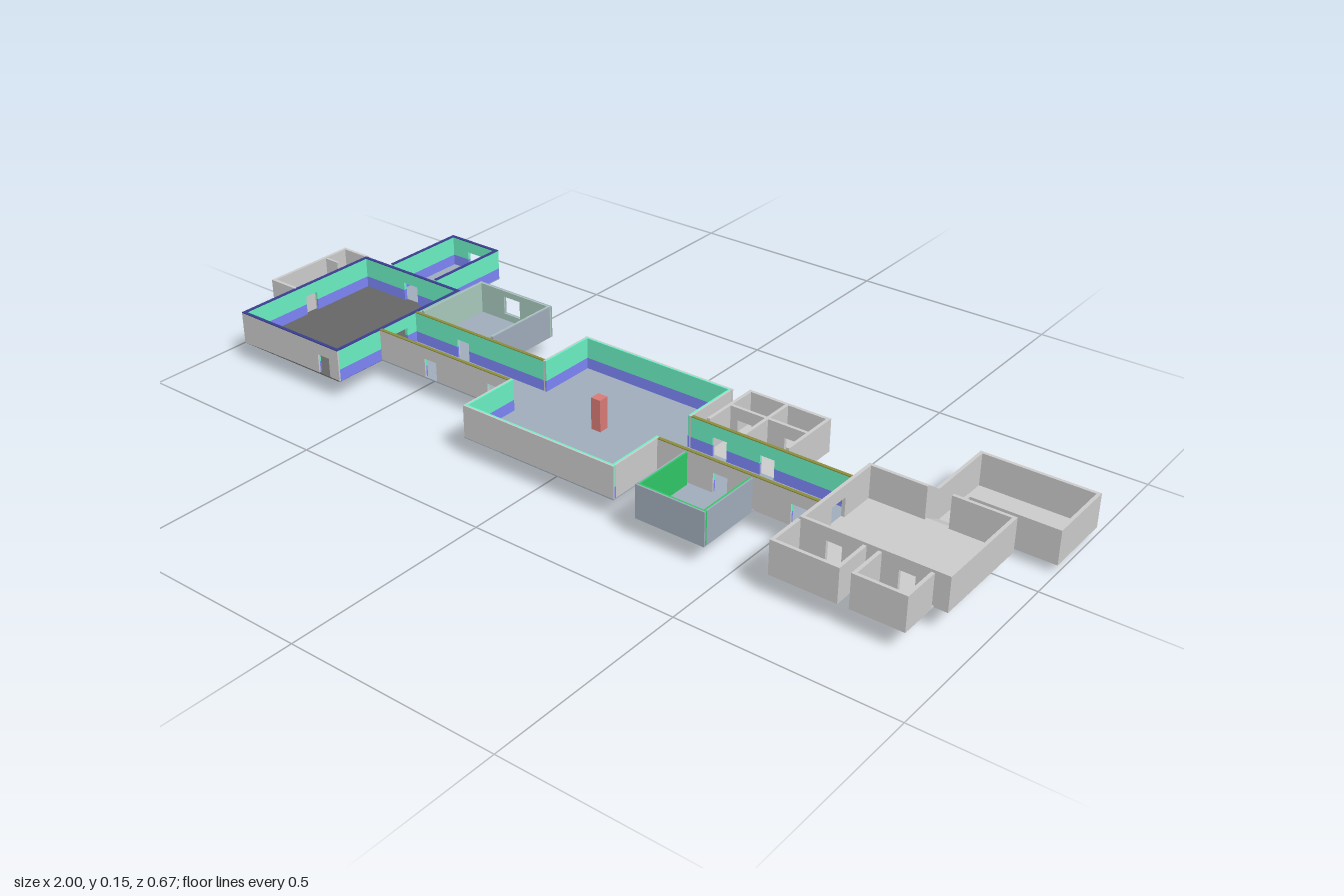
import * as THREE from 'three';

const mat = (color) => new THREE.MeshStandardMaterial({ color, flatShading: true, side: THREE.DoubleSide });
const GREY = mat(0xcccccc), SLATE = mat(0xa0acba), DARK = mat(0x666666), GREEN = mat(0x6bf0c4);
const BLUE = mat(0x7c85f7), SAGE = mat(0xa8c8bc), LEAF = mat(0x2fc766), RED = mat(0xd87a76);
const NAVY = mat(0x3a3f90), OLIVE = mat(0x8c8c3c);

const T = 0.008;        // wall thickness
const BASE = 0.05, TOP = 0.13, DADO = 0.08, DOOR = 0.1;

function box(parent, name, x0, x1, y0, y1, z0, z1, material) {
  const m = new THREE.Mesh(new THREE.BoxGeometry(x1 - x0, y1 - y0, z1 - z0), material);
  m.position.set((x0 + x1) / 2, (y0 + y1) / 2, (z0 + z1) / 2);
  m.name = name;
  parent.add(m);
}

// One wall skin along x or z, split around openings [from, to, bottom, top]
function skin(parent, name, alongX, a, b, c0, c1, y0, y1, openings, material) {
  const piece = (p, q, lo, hi) => {
    if (q - p < 1e-4 || hi - lo < 1e-4) return;
    if (alongX) box(parent, name, p, q, lo, hi, c0, c1, material);
    else box(parent, name, c0, c1, lo, hi, p, q, material);
  };
  let at = a;
  for (const [p, q, lo, hi] of openings) {
    piece(at, p, y0, y1);
    piece(p, q, y0, Math.min(y1, lo));
    piece(p, q, Math.max(y0, hi), y1);
    at = q;
  }
  piece(at, b, y0, y1);
}

// Painted walls are blue below the dado line and green above it
function bands(paint, y0, y1) {
  return paint === 'painted' ? [[y0, DADO, BLUE], [DADO, y1, GREEN]] : [[y0, y1, paint]];
}

// Room with an inner and an outer skin on each of its walls
function room(root, name, x0, x1, z0, z1, opt = {}) {
  const { floor = GREY, inside = GREY, outside = GREY, cap = null, y0 = BASE, y1 = TOP,
    sides = 'nsew', openings = {}, outer = {} } = opt;
  const g = new THREE.Group();
  g.name = name;
  root.add(g);
  if (floor) box(g, name + 'Floor', x0, x1, y0, y0 + 0.003, z0, z1, floor);
  const spec = { n: [true, z0, 1], s: [true, z1, -1], w: [false, x0, 1], e: [false, x1, -1] };
  const capH = cap ? 0.002 : 0;
  for (const side of sides) {
    const [alongX, edge, dir] = spec[side];
    const a = alongX ? x0 : z0 + T, b = alongX ? x1 : z1 - T;
    const holes = openings[side] || [];
    const layer = (from, to, paint) => {
      const c0 = edge + dir * from, c1 = edge + dir * to;
      const list = bands(paint, y0, y1 - capH);
      if (cap) list.push([y1 - capH, y1, cap]);
      for (const [lo, hi, m] of list)
        skin(g, name + 'Wall', alongX, a, b, Math.min(c0, c1), Math.max(c0, c1), lo, hi, holes, m);
    };
    layer(0, T / 2, outer[side] || outside);
    layer(T / 2, T, inside);
  }
  return g;
}

const door = (c, w = 0.036, base = BASE, top = DOOR) => [c - w / 2, c + w / 2, base, top];
const gap = (p, q) => [p, q, -1, 1];

// Extruded z-y outline, spanning x0..x1
function profile(parent, name, pts, x0, x1, material) {
  const shape = new THREE.Shape(pts.map(([z, y]) => new THREE.Vector2(-z, y)));
  const geo = new THREE.ExtrudeGeometry(shape, { depth: x1 - x0, bevelEnabled: false });
  const m = new THREE.Mesh(geo.rotateY(Math.PI / 2), material);
  m.position.x = x0;
  m.name = name;
  parent.add(m);
}

export function createModel() {
  const root = new THREE.Group();
  root.name = 'buildingInterior';

  // Dark-floored room and the room behind it
  room(root, 'darkRoom', -0.92, -0.6, -0.105, 0.3, {
    floor: DARK, inside: 'painted', cap: NAVY, outer: { e: 'painted', n: 'painted' },
    openings: { n: [door(-0.76, 0.045)], s: [door(-0.648)], w: [door(0.09)], e: [door(0.1025, 0.05)] },
  });
  room(root, 'backRoom', -0.84, -0.685, -0.337, -0.105, {
    floor: SLATE, inside: 'painted', outside: 'painted', cap: NAVY, sides: 'new',
    openings: { n: [door(-0.76, 0.045)] },
  });

  // Corridors on both sides of the hall
  room(root, 'rightCorridor', -0.6, -0.205, 0.04, 0.165, {
    floor: SLATE, inside: 'painted', cap: OLIVE, sides: 'ns',
    openings: { n: [door(-0.45)], s: [door(-0.442), door(-0.25)] },
  });
  room(root, 'leftCorridor', 0.205, 0.6, 0.04, 0.165, {
    floor: SLATE, inside: 'painted', cap: OLIVE, sides: 'ns',
    openings: { n: [door(0.28), door(0.4)], s: [door(0.365), door(0.555)] },
  });

  // Central hall with its pillar
  const hall = room(root, 'hall', -0.205, 0.205, -0.105, 0.31, {
    floor: SLATE, inside: 'painted',
    openings: { e: [gap(0.048, 0.157)], w: [gap(0.048, 0.157)] },
  });
  box(hall, 'pillar', -0.0125, 0.0125, BASE, TOP, 0.09, 0.115, RED);

  // Side rooms off the corridors
  room(root, 'windowRoom', -0.595, -0.37, -0.175, 0.04, {
    floor: SLATE, inside: SAGE, outside: SLATE, sides: 'new',
    openings: { n: [door(-0.49, 0.05, 0.07, 0.115)] },
  });
  room(root, 'greenRoom', 0.28, 0.45, 0.165, 0.335, {
    floor: SLATE, inside: LEAF, outside: SLATE, sides: 'sew',
  });
  const cells = room(root, 'smallRooms', 0.235, 0.442, -0.126, 0.04, { sides: 'new' });
  skin(cells, 'divider', false, -0.118, 0.04, 0.331, 0.339, BASE, TOP, [], GREY);
  skin(cells, 'crossWall', true, 0.243, 0.331, -0.05, -0.042, BASE, TOP, [door(0.28)], GREY);
  skin(cells, 'crossWall', true, 0.339, 0.434, -0.05, -0.042, BASE, TOP, [door(0.4)], GREY);

  // Grey end room with two closets in front
  room(root, 'endRoom', 0.6, 0.93, -0.022, 0.233, {
    openings: { n: [gap(0.738, 0.792)], s: [door(0.68), door(0.84)], w: [door(0.1025, 0.05)] },
  });
  room(root, 'closet', 0.6, 0.755, 0.233, 0.335, { sides: 'sew' });
  room(root, 'closet', 0.78, 0.9, 0.233, 0.335, { sides: 'sew' });

  // Lower corner room reached by a sloping passage
  room(root, 'lowerRoom', 0.73, 1, -0.25, -0.076, {
    y0: 0.02, y1: 0.1, openings: { s: [gap(0.738, 0.792)] },
  });
  const passage = new THREE.Group();
  passage.name = 'slopingPassage';
  root.add(passage);
  const side = [[-0.015, 0.02], [-0.076, 0.02], [-0.076, 0.1], [-0.065, 0.1], [-0.02, 0.13], [-0.015, 0.13]];
  for (const x of [0.73, 0.792]) profile(passage, 'passageWall', side, x, x + T, GREY);
  profile(passage, 'passageRamp', [[-0.015, 0.02], [-0.076, 0.02], [-0.076, 0.023], [-0.02, 0.053], [-0.015, 0.053]],
    0.738, 0.792, GREY);

  // Stairwell at the far end: lower floor, two flights and a landing
  const well = room(root, 'stairwell', -1, -0.916, -0.11, 0.135, {
    floor: null, y0: 0, sides: 'nsw',
  });
  box(well, 'lowerFloor', -1, -0.92, 0, 0.003, 0.004, 0.135, GREY);
  box(well, 'stairwellWall', -0.924, -0.916, 0, 0.05, -0.11, 0.135, GREY);
  box(well, 'landing', -1, -0.92, 0.02, 0.023, -0.11, -0.072, GREY);
  profile(well, 'lowerFlight', [[0.004, 0], [0.004, 0.003], [-0.072, 0.023], [-0.072, 0.02]], -1, -0.966, GREY);
  profile(well, 'upperFlight', [[-0.01, 0.064], [-0.01, 0.067], [-0.072, 0.023], [-0.072, 0.02]], -0.955, -0.92, GREY);
  const rail = [[-0.0136, 0.003], [-0.072, 0.02], [-0.072, 0.1], [-0.065, 0.1], [-0.0136, 0.143]];
  for (const x of [-0.957, -0.924]) profile(well, 'flightWall', rail, x, x + 0.004, GREY);
  box(well, 'flightEndWall', -0.96, -0.92, 0.003, 0.147, -0.0136, -0.008, GREY);

  return root;
}
